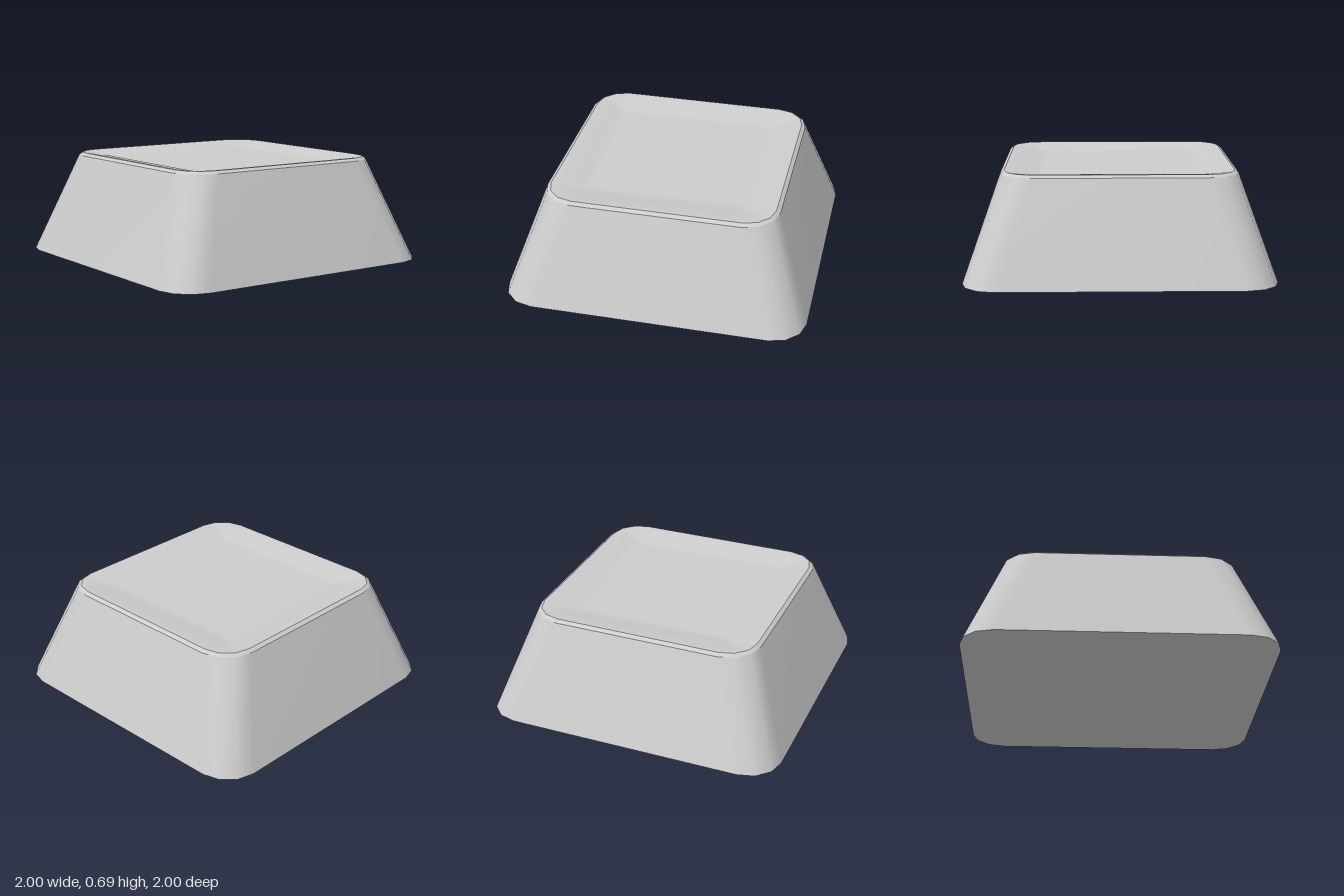
import * as THREE from 'three';

const CORNER_STEPS = 3;

// Rounded-square ring: half width, corner radius, height
function ring([half, radius, y]) {
  const points = [];
  const c = half - radius;
  for (let q = 0; q < 4; q++) {
    const mid = (q + 0.5) * Math.PI / 2;
    const cx = Math.sign(Math.cos(mid)) * c;
    const cz = Math.sign(Math.sin(mid)) * c;
    for (let s = 0; s <= CORNER_STEPS; s++) {
      const a = (q + s / CORNER_STEPS) * Math.PI / 2;
      points.push(cx + radius * Math.cos(a), y, cz + radius * Math.sin(a));
    }
  }
  return points;
}

// Skin joining successive rings, smooth within itself
function loft(profile) {
  const n = 4 * (CORNER_STEPS + 1);
  const index = [];
  for (let r = 0; r < profile.length - 1; r++) {
    for (let i = 0; i < n; i++) {
      const a = r * n + i, b = r * n + (i + 1) % n;
      index.push(a, a + n, b, b, a + n, b + n);
    }
  }
  const geometry = new THREE.BufferGeometry();
  geometry.setAttribute('position', new THREE.Float32BufferAttribute(profile.flatMap(ring), 3));
  geometry.setIndex(index);
  geometry.computeVertexNormals();
  return geometry;
}

export function createModel() {
  const group = new THREE.Group();
  group.name = 'keycap';
  const grey = new THREE.MeshStandardMaterial({ color: 0xcccccc });
  grey.name = 'light grey';

  const foot = [1, 0.22, 0];
  const shoulder = [0.765, 0.215, 0.67];
  const rim = [0.74, 0.19, 0.687];

  const parts = {
    // Closed flat underside
    underside: [[0, 0, 0], foot],
    // Tapered walls
    walls: [foot, shoulder],
    // Narrow chamfer round the top
    rimBevel: [shoulder, rim],
    // Shallow recessed top with a flat middle
    dish: [rim, [0.71, 0.16, 0.686], [0.61, 0.07, 0.671], [0.54, 0.02, 0.655], [0.5, 0.01, 0.654], [0, 0, 0.654]],
  };
  for (const [name, profile] of Object.entries(parts)) {
    const mesh = new THREE.Mesh(loft(profile), grey);
    mesh.name = name;
    group.add(mesh);
  }
  return group;
}
